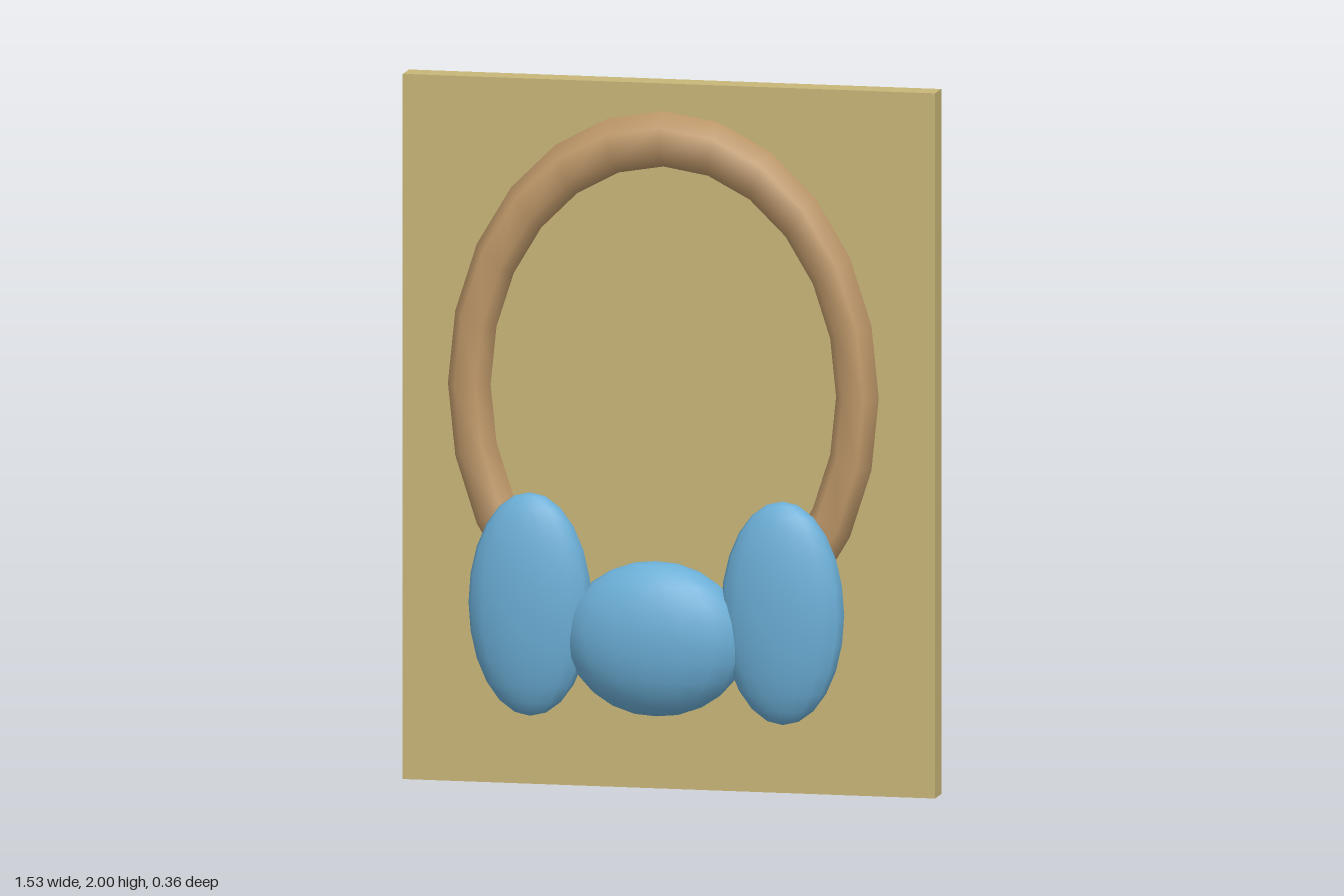
import * as THREE from 'three';

export function createModel() {
  const model = new THREE.Group();
  const material = (name, color) => {
    const m = new THREE.MeshStandardMaterial({ color });
    m.name = name;
    return m;
  };
  const tan = material('boardTan', 0xc8b678);
  const brown = material('ringBrown', 0xc19a6b);
  const blue = material('bowBlue', 0x6baed6);

  const add = (name, geometry, mat, x, y, z) => {
    const mesh = new THREE.Mesh(geometry, mat);
    mesh.name = name;
    mesh.position.set(x, y, z);
    model.add(mesh);
  };

  // Flat backing board
  add('board', new THREE.BoxGeometry(1.53, 2, 0.08), tan, 0, 1, -0.14);

  // Oval ring with a six-sided section
  const ring = new THREE.TorusGeometry(0.6, 0.066, 6, 24).scale(0.93, 1.19, 1);
  add('ring', ring, brown, 0, 1.14, -0.033);

  // Bow: two tall lobes and a round knot
  const ellipsoid = (rx, ry, rz) => new THREE.SphereGeometry(1, 16, 12).scale(rx, ry, rz);
  for (const [name, side] of [['leftLobe', 1], ['rightLobe', -1]]) {
    add(name, ellipsoid(0.177, 0.317, 0.08), blue, side * 0.363, 0.535, 0.054);
  }
  add('knot', ellipsoid(0.26, 0.22, 0.12), blue, 0, 0.45, 0.056);

  return model;
}
